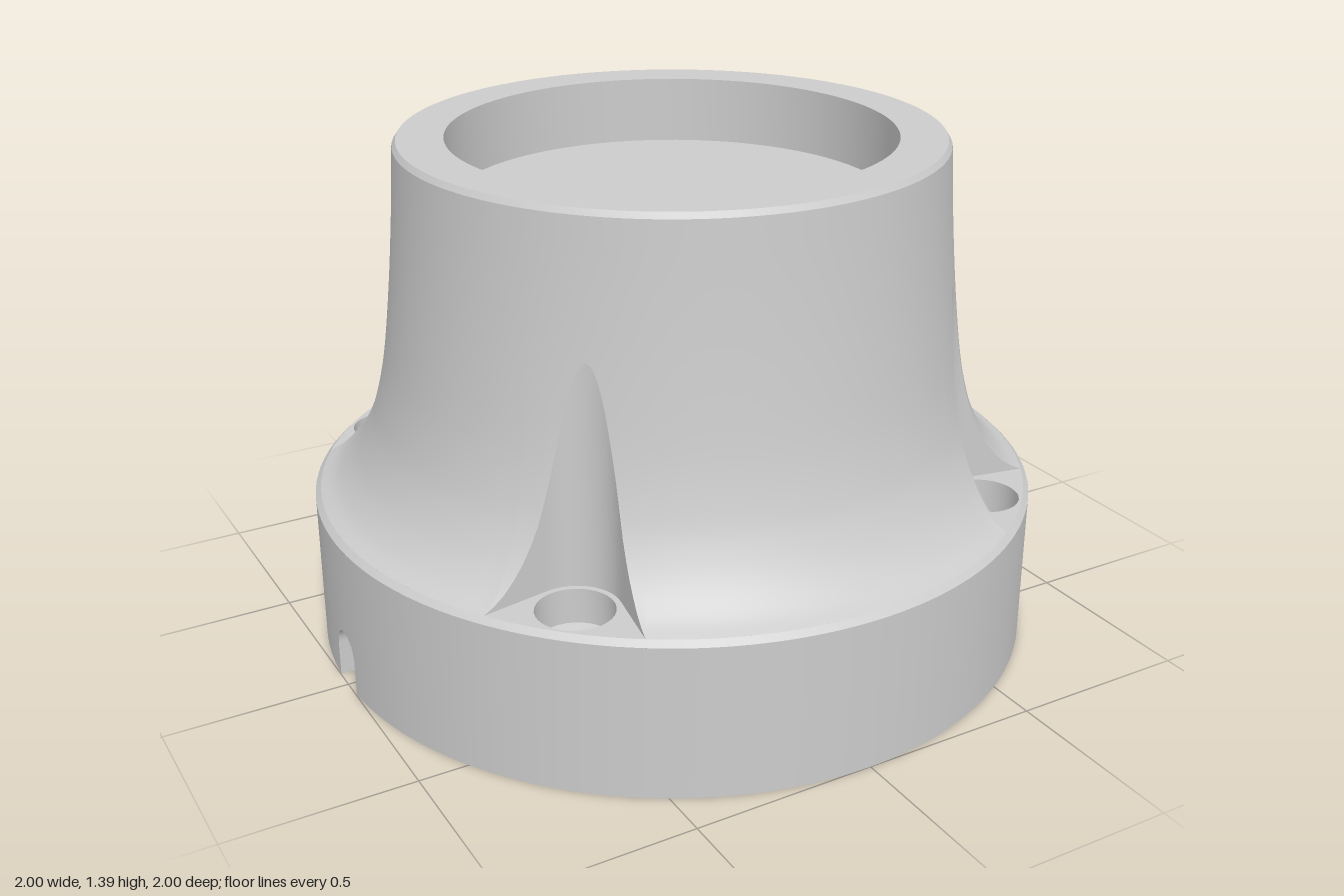
import * as THREE from 'three';
import { mergeVertices, toCreasedNormals } from 'three/addons/utils/BufferGeometryUtils.js';

const material = new THREE.MeshStandardMaterial({ color: 0xcccccc, side: THREE.DoubleSide });
const { PI, sin, cos, abs, sqrt, min, exp } = Math;

const LEDGE = 0.435, EDGE = 0.985;            // top of the base flange
const D = 0.877, R = 0.115, FLARE = 0.61;     // screw pockets: distance, radius, half angle
const POCKET = FLARE - Math.asin((D * sin(FLARE) - R) / EDGE); // half span of a pocket
const SLOT = 0.06, FLAT = 0.89, CEILING = 0.65;
const PIN_ANGLE = 1.414, PIN_R = 0.81;

const body = new THREE.SplineCurve([
  [EDGE, LEDGE], [0.94, 0.46], [0.89, 0.515], [0.85, 0.585], [0.82, 0.665], [0.79, 0.8],
  [0.765, 1], [0.747, 1.2], [0.735, 1.38],
].map(([x, y]) => new THREE.Vector2(x, y)));

// surface from cross-sections: i runs around, j runs upwards
function grid(n, m, point, inward = false) {
  const pos = [], idx = [];
  for (let i = 0; i <= n; i++) for (let j = 0; j <= m; j++) pos.push(...point(i, j));
  for (let i = 0; i < n; i++) for (let j = 0; j < m; j++) {
    const a = i * (m + 1) + j, b = a + m + 1;
    if (inward) idx.push(a, b, a + 1, a + 1, b, b + 1);
    else idx.push(a, a + 1, b, b, a + 1, b + 1);
  }
  const raw = new THREE.BufferGeometry();
  raw.setAttribute('position', new THREE.Float32BufferAttribute(pos, 3));
  raw.setIndex(idx);
  const geo = mergeVertices(raw, 1e-5);
  geo.computeVertexNormals();
  return geo;
}
const polar = (r, a, y) => [r * cos(a), y, r * sin(a)];
const flat2 = (r, a) => new THREE.Vector2(r * cos(a), r * sin(a));
const span = (a, b, n) => Array.from({ length: n + 1 }, (_, i) => a + (b - a) * i / n);
const wrap = a => Math.atan2(sin(a), cos(a));

function lathe(points, segments) {
  const geo = new THREE.LatheGeometry(points.map(p => new THREE.Vector2(...p)), segments);
  return toCreasedNormals(geo, 0.5);
}
// flat face at height y, facing up or down, with round holes [x, z, r]
function face(outline, y, up, holes = []) {
  const s = up ? -1 : 1;
  const shape = new THREE.Shape(outline.map(p => new THREE.Vector2(p.x, s * p.y)));
  for (const [x, z, r] of holes) shape.holes.push(new THREE.Path().absarc(x, s * z, r, 0, 2 * PI, true));
  return new THREE.ShapeGeometry(shape, 16).rotateX(s * PI / 2).translate(0, y, 0);
}

// distance from the axis to a pocket wall: round back, then flaring straight sides
function pocketRadius(f) {
  f = abs(f);
  const tangent = Math.atan2(R * cos(FLARE), D - R * sin(FLARE));
  if (f <= tangent) return D * cos(f) - sqrt(R * R - (D * sin(f)) ** 2);
  return f < POCKET ? (D * sin(FLARE) - R) / sin(FLARE - f) : EDGE;
}
// body curve parameter at a given radius
function bodyParam(r) {
  if (r >= EDGE - 1e-6) return 0;
  let lo = 0, hi = 1;
  for (let k = 0; k < 40; k++) {
    const mid = (lo + hi) / 2;
    if (body.getPoint(mid).x > r) lo = mid; else hi = mid;
  }
  return lo;
}
// lobed contour of the hollow underside
function cavityRadius(a) {
  const corner = wrap(4 * (a - PI / 4)) / 4, back = wrap(a - PI);
  const r = 0.94 - 0.26 * exp(-(abs(corner / 0.22) ** 3)) - 0.2 * exp(-(((abs(back) - PIN_ANGLE) / 0.13) ** 4));
  return abs(back) < 0.5 ? min(r, FLAT / cos(back)) : r;
}
// cavity narrows under the curved body
function cavityLimit(y) {
  const pts = [[0.94, 0], [0.94, 0.36], [0.85, 0.46], [0.78, 0.58], [0.74, CEILING]];
  const k = Math.max(1, pts.findIndex(p => p[1] >= y - 1e-9));
  const [r0, y0] = pts[k - 1], [r1, y1] = pts[k];
  return r0 + (r1 - r0) * (y - y0) / (y1 - y0);
}
const slotTop = z => 0.1 + sqrt(Math.max(0, SLOT * SLOT - z * z));
// wall columns [angle, lower edge], rising over the cable slot
function wallColumns(half, z) {
  return [
    ...span(PI + half, 3 * PI - half, 360).map(a => [a, 0]),
    ...span(3 * PI - half, 3 * PI + half, 20).map(a => [a, slotTop(z(a))]),
    [3 * PI + half, 0],
  ];
}

export function createModel() {
  const model = new THREE.Group();
  const add = (name, geo, parent = model) => {
    const mesh = new THREE.Mesh(geo, material);
    mesh.name = name;
    parent.add(mesh);
    return mesh;
  };
  const slotOuter = Math.asin(SLOT), slotInner = Math.atan(SLOT / FLAT);

  // base flange wall and its bevel
  const outer = wallColumns(slotOuter, a => sin(a));
  add('flangeWall', grid(outer.length - 1, 1, (i, j) => polar(1, outer[i][0], j ? 0.42 : outer[i][1])));
  add('flangeBevel', lathe([[1, 0.42], [EDGE, LEDGE]], 192));

  // curved body, its lower edge following the screw pockets
  const angles = [];
  for (let k = 0; k < 4; k++) {
    const c = PI / 4 + k * PI / 2;
    angles.push(...span(c - POCKET, c + POCKET, 32).slice(0, -1),
      ...span(c + POCKET, c + PI / 2 - POCKET, 30).slice(0, -1));
  }
  angles.push(angles[0] + 2 * PI);
  const starts = angles.map(a => bodyParam(pocketRadius(wrap(4 * (a - PI / 4)) / 4)));
  add('body', grid(angles.length - 1, 32, (i, j) => {
    const p = body.getPoint(starts[i] + (1 - starts[i]) * j / 32);
    return polar(p.x, angles[i], p.y);
  }));

  // top rim and round recess
  add('topRecess', lathe([[0.735, 1.38], [0.725, 1.395], [0.6, 1.395], [0.6, 1.21], [0, 1.21]], 128));

  // four screw pockets with counterbored holes
  const pocketAngles = span(-POCKET, POCKET, 32);
  const wallGeo = grid(32, 8, (i, j) => {
    const r = pocketRadius(pocketAngles[i]);
    const top = body.getPoint(bodyParam(r)).y;
    return polar(r, pocketAngles[i], LEDGE + (top - LEDGE) * j / 8);
  });
  const floorOutline = [
    ...pocketAngles.map(a => flat2(pocketRadius(a), a)),
    ...pocketAngles.slice(1, -1).reverse().map(a => flat2(EDGE, a)),
  ];
  const floorGeo = face(floorOutline, LEDGE, true, [[D, 0, 0.1]]);
  const holeGeo = lathe([[0.1, LEDGE], [0.1, 0.34], [0.065, 0.33], [0.065, 0]], 32).translate(D, 0, 0);
  for (let k = 0; k < 4; k++) {
    const pocket = new THREE.Group();
    pocket.name = 'screwPocket';
    pocket.rotation.y = PI / 4 + k * PI / 2;
    add('pocketWall', wallGeo, pocket);
    add('pocketFloor', floorGeo, pocket);
    add('screwHole', holeGeo, pocket);
    model.add(pocket);
  }

  // hollow underside with bosses
  const inner = wallColumns(slotInner, a => FLAT * Math.tan(wrap(a - PI)));
  add('cavityWall', grid(inner.length - 1, 24, (i, j) => {
    const [a, y0] = inner[i];
    const y = y0 + (CEILING - y0) * j / 24;
    return polar(min(cavityRadius(a), cavityLimit(y)), a, y);
  }, true));
  const ceiling = span(0, 2 * PI, 240).slice(0, -1).map(a => flat2(min(cavityRadius(a), 0.74), a));
  add('cavityCeiling', face(ceiling, CEILING, false));

  // underside face, open at the cable slot
  const holes = [];
  for (let k = 0; k < 4; k++) {
    const p = flat2(D, PI / 4 + k * PI / 2);
    holes.push([p.x, p.y, 0.065]);
  }
  for (const side of [-1, 1]) {
    const p = flat2(PIN_R, PI + side * PIN_ANGLE);
    holes.push([p.x, p.y, 0.05]);
    add('pinHole', lathe([[0.05, 0.3], [0.05, 0]].reverse().concat([[0, 0.3]]), 24)).position.set(p.x, 0, p.y);
  }
  const rim = [
    ...span(PI + slotOuter, 3 * PI - slotOuter, 240).map(a => flat2(1, a)),
    ...span(3 * PI - slotInner, PI + slotInner, 240).map(a => flat2(cavityRadius(a), a)),
  ];
  add('undersideRim', face(rim, 0, false, holes));

  // arched cable slot lining
  const arch = [[-SLOT, 0], ...span(PI, 0, 20).map(a => [SLOT * cos(a), 0.1 + SLOT * sin(a)]), [SLOT, 0]];
  add('cableSlot', grid(arch.length - 1, 1, (i, j) => {
    const [z, y] = arch[i];
    return [j ? -FLAT : -sqrt(1 - z * z), y, z];
  }));

  // cable from the ceiling to the slot
  const path = new THREE.CatmullRomCurve3([
    [-0.84, 0.09], [-0.45, 0.09], [-0.08, 0.09], [0.12, 0.12], [0.3, 0.23], [0.42, 0.39], [0.48, 0.66],
  ].map(([x, y]) => new THREE.Vector3(x, y, 0)));
  add('cable', new THREE.TubeGeometry(path, 60, 0.062, 24));
  const end = add('cableEnd', new THREE.CircleGeometry(0.062, 24));
  end.position.set(-0.84, 0.09, 0);
  end.rotation.y = -PI / 2;
  return model;
}
